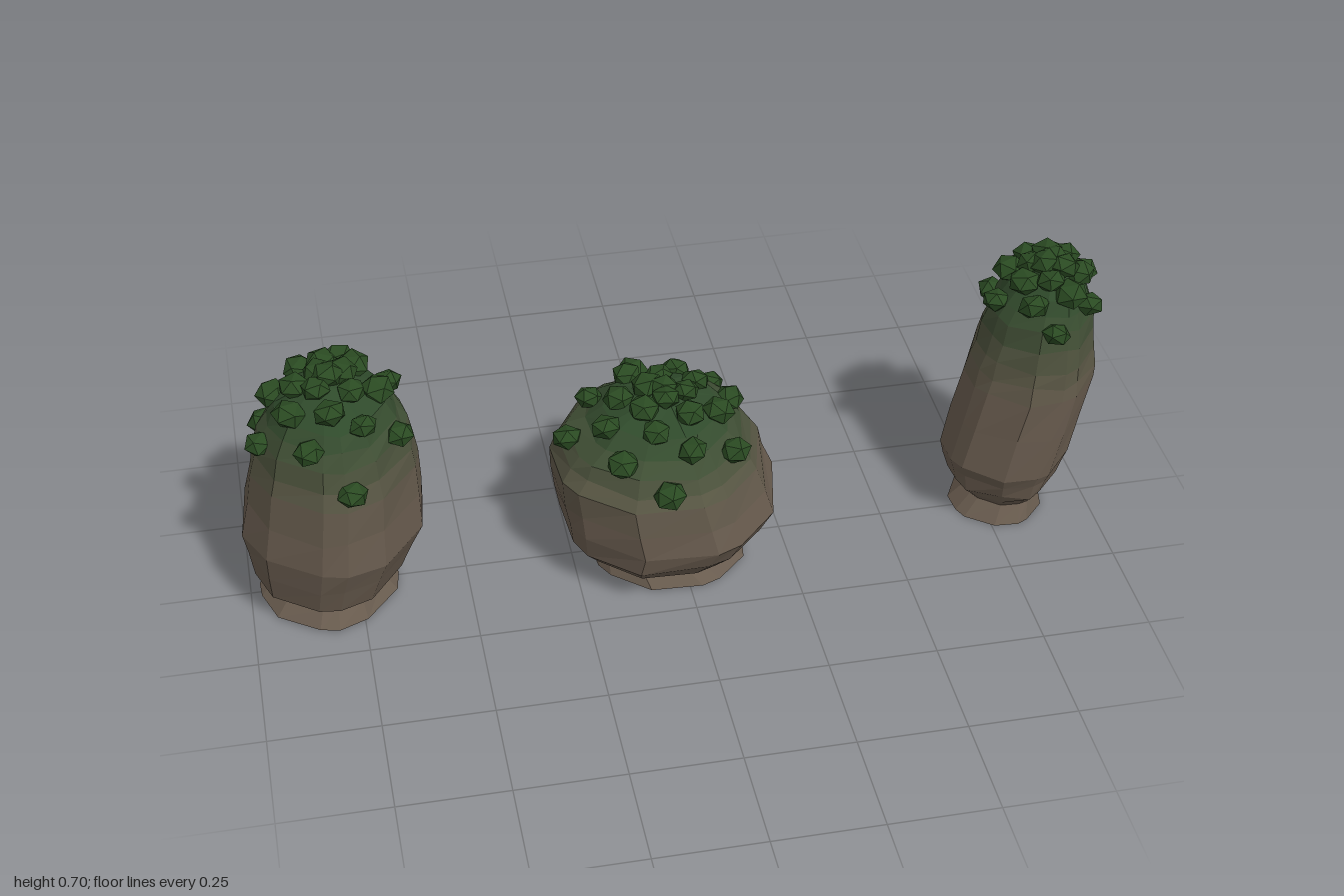
import * as THREE from 'three';

const SIDES = 13;
const GOLDEN_ANGLE = 2.39996;
const stoneColor = new THREE.Color(0x685b4e);
const greenColor = new THREE.Color(0x2f4a2b);
const mossMaterial = new THREE.MeshStandardMaterial({ color: 0x2a4a22, flatShading: true });

// Each profile point is [height, x centre, radius], from the foot to the crown.
const ROCKS = [
  {
    name: 'mediumRock', seed: 3, depth: 1.13, z: -0.007,
    profile: [
      [0.01, -0.82, 0.16], [0.045, -0.815, 0.13], [0.08, -0.815, 0.175], [0.2, -0.795, 0.207],
      [0.37, -0.78, 0.19], [0.46, -0.777, 0.165], [0.53, -0.775, 0.125], [0.58, -0.78, 0.04],
    ],
    moss: { count: 23, reach: 0.93, power: 0.75, phase: 1.3 },
  },
  {
    name: 'wideRock', seed: 11, depth: 1.04, z: -0.007,
    profile: [
      [0.01, -0.02, 0.188], [0.035, -0.04, 0.165], [0.06, -0.04, 0.2], [0.11, -0.033, 0.243], [0.16, -0.02, 0.262],
      [0.28, -0.045, 0.247], [0.34, -0.042, 0.207], [0.4, -0.035, 0.13], [0.43, -0.03, 0.04],
    ],
    moss: { count: 23, reach: 0.88, power: 0.75, phase: -0.9 },
  },
  {
    name: 'tallRock', seed: 23, depth: 1.08, z: -0.017,
    profile: [
      [0.005, 0.79, 0.112], [0.045, 0.803, 0.087], [0.1, 0.8, 0.13], [0.17, 0.8, 0.152], [0.38, 0.845, 0.152],
      [0.46, 0.852, 0.138], [0.56, 0.86, 0.12], [0.62, 0.87, 0.09], [0.665, 0.87, 0.035],
    ],
    moss: { count: 21, reach: 0.85, power: 0.7, phase: 0 },
  },
];

function seeded(seed) {
  let s = seed * 7919 + 17;
  return () => (s = (s * 16807) % 2147483647) / 2147483647;
}

function mix(a, b, t) {
  return a.map((v, k) => THREE.MathUtils.lerp(v, b[k], t));
}

// Close the profile at both ends and add midway rings on the long stretches.
function makeRings(profile) {
  const [footY, footX] = profile[0];
  const [crownY, crownX] = profile[profile.length - 1];
  const rings = [[footY, footX, 0], ...profile, [crownY + 0.008, crownX, 0]];
  return rings.flatMap((ring, i) => {
    const next = rings[i + 1];
    return next && next[0] - ring[0] > 0.055 ? [ring, mix(ring, next, 0.5)] : [ring];
  });
}

// The ring on the upper slope that has the given radius.
function slopeRing(rings, radius) {
  let i = rings.length - 2;
  while (rings[i][2] < radius) i--;
  const above = rings[i + 1];
  return mix(above, rings[i], (radius - above[2]) / (rings[i][2] - above[2]));
}

// One faceted band between two loops of points.
function makeBand(lower, upper, color) {
  const index = [];
  for (let i = 0; i < SIDES; i++) {
    const j = (i + 1) % SIDES;
    index.push(i, SIDES + i, j, j, SIDES + i, SIDES + j);
  }
  const indexed = new THREE.BufferGeometry();
  indexed.setAttribute('position', new THREE.Float32BufferAttribute([...lower, ...upper].flat(), 3));
  indexed.setIndex(index);
  const geometry = indexed.toNonIndexed();
  geometry.computeVertexNormals();
  const band = new THREE.Mesh(geometry, new THREE.MeshStandardMaterial({ color, flatShading: true }));
  band.name = 'stoneBand';
  return band;
}

function makeRock({ name, seed, depth, z, profile, moss }) {
  const rock = new THREE.Group();
  rock.name = name;
  const random = seeded(seed);
  const rings = makeRings(profile);
  const top = rings[rings.length - 1][0];
  const belly = Math.max(...profile.map((p) => p[2]));

  // Uneven stone body, turning from brown to green towards the crown
  const loops = rings.map(([y, x, radius], r) => Array.from({ length: SIDES }, (_, i) => {
    const a = ((i + 0.3 * Math.sin(seed + i * 2)) / SIDES) * Math.PI * 2;
    const uneven = radius * (1 + (random() - 0.5) * 0.04);
    const lift = r > 3 && radius > 0 ? (random() - 0.5) * 0.015 : 0;
    return [x + Math.cos(a) * uneven, y + lift, z + Math.sin(a) * uneven * depth];
  }));
  for (let i = 0; i < loops.length - 1; i++) {
    const height = (rings[i][0] + rings[i + 1][0]) / 2 / top;
    const green = THREE.MathUtils.smoothstep(height, 0.45, 0.95);
    rock.add(makeBand(loops[i], loops[i + 1], stoneColor.clone().lerp(greenColor, green)));
  }

  // Flattened moss clumps spiralling out from the crown
  for (let i = 0; i < moss.count; i++) {
    const spread = moss.reach * Math.pow((i + 0.3) / moss.count, moss.power);
    const [y, x, radius] = slopeRing(rings, belly * spread);
    const a = moss.phase + i * GOLDEN_ANGLE;
    const size = 0.034 + random() * 0.007;
    const clump = new THREE.Mesh(new THREE.IcosahedronGeometry(1, 0), mossMaterial);
    clump.name = 'mossClump';
    clump.scale.set(size, size * 0.75, size);
    clump.rotation.set((random() - 0.5) * 0.6, random() * Math.PI * 2, (random() - 0.5) * 0.6);
    clump.position.set(x + Math.cos(a) * radius, y + 0.01, z + Math.sin(a) * radius * depth);
    rock.add(clump);
  }
  return rock;
}

export function createModel() {
  const model = new THREE.Group();
  model.name = 'mossyRocks';
  for (const rock of ROCKS) model.add(makeRock(rock));
  return model;
}
